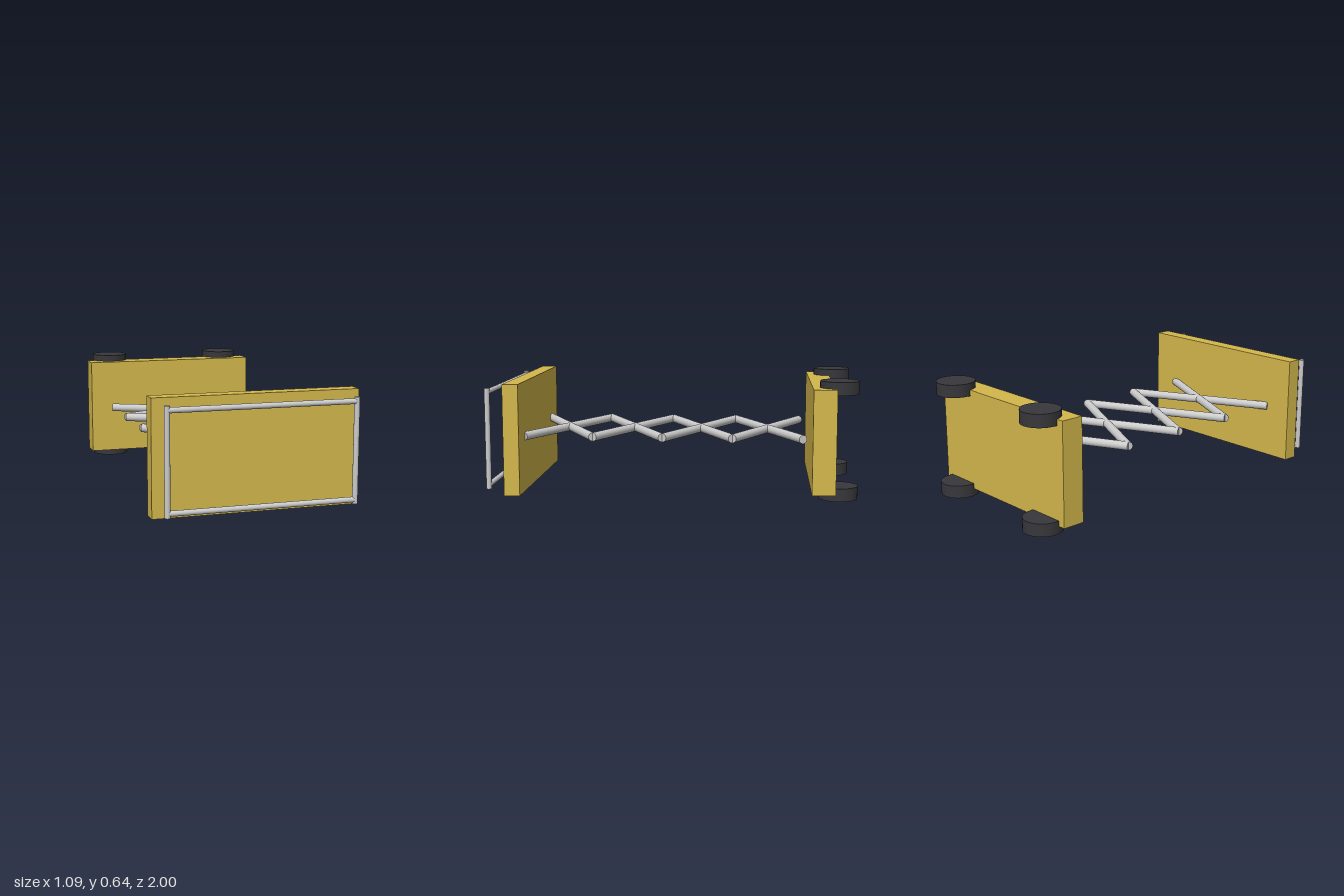
import * as THREE from 'three';

const yellow = new THREE.MeshStandardMaterial({ color: 0xd4b84c });
const grey = new THREE.MeshStandardMaterial({ color: 0xcccccc });
const dark = new THREE.MeshStandardMaterial({ color: 0x38383c });

const MID_Y = 0.32;

function add(parent, name, geometry, material, x = 0, y = 0, z = 0) {
  const mesh = new THREE.Mesh(geometry, material);
  mesh.name = name;
  mesh.position.set(x, y, z);
  parent.add(mesh);
  return mesh;
}

// Round bar between two points
function bar(parent, name, from, to, radius) {
  const a = new THREE.Vector3(...from);
  const b = new THREE.Vector3(...to);
  const dir = b.clone().sub(a);
  const mesh = add(parent, name, new THREE.CylinderGeometry(radius, radius, dir.length(), 24), grey);
  mesh.position.copy(a).add(b).multiplyScalar(0.5);
  mesh.quaternion.setFromUnitVectors(new THREE.Vector3(0, 1, 0), dir.normalize());
}

function createGroup(parent, name) {
  const group = new THREE.Group();
  group.name = name;
  parent.add(group);
  return group;
}

export function createModel() {
  const model = new THREE.Group();
  model.name = 'scissorLift';

  // Chassis at the back, work platform at the front
  add(model, 'chassis', new THREE.BoxGeometry(1.02, 0.56, 0.125), yellow, 0, MID_Y, -0.813);
  add(model, 'platform', new THREE.BoxGeometry(1.09, 0.6, 0.085), yellow, 0, MID_Y, 0.848);

  // Four wheels with upright axles
  const wheels = createGroup(model, 'wheels');
  const wheelGeometry = new THREE.CylinderGeometry(0.105, 0.105, 0.07, 40);
  for (const x of [-0.365, 0.365]) {
    for (const y of [0.035, 0.602]) add(wheels, 'wheel', wheelGeometry, dark, x, y, -0.895);
  }

  // Four crossed pairs of scissor arms
  const scissor = createGroup(model, 'scissorArms');
  const reach = 0.387;
  const step = 0.379;
  for (let i = 0; i < 4; i++) {
    const z = -0.704 + i * step;
    for (const side of [-1, 1]) {
      bar(scissor, 'scissorArm', [side * reach, MID_Y, z], [-side * reach, MID_Y, z + step], 0.0235);
    }
  }

  // Guard rail frame in front of the platform
  const rail = createGroup(model, 'guardRail');
  const railZ = 0.985;
  const railR = 0.0145;
  for (const s of [-1, 1]) {
    bar(rail, 'sideRail', [s * 0.491, MID_Y - 0.274, railZ], [s * 0.491, MID_Y + 0.274, railZ], railR);
    bar(rail, 'crossRail', [-0.491, MID_Y + s * 0.252, railZ], [0.491, MID_Y + s * 0.252, railZ], railR);
  }

  return model;
}
